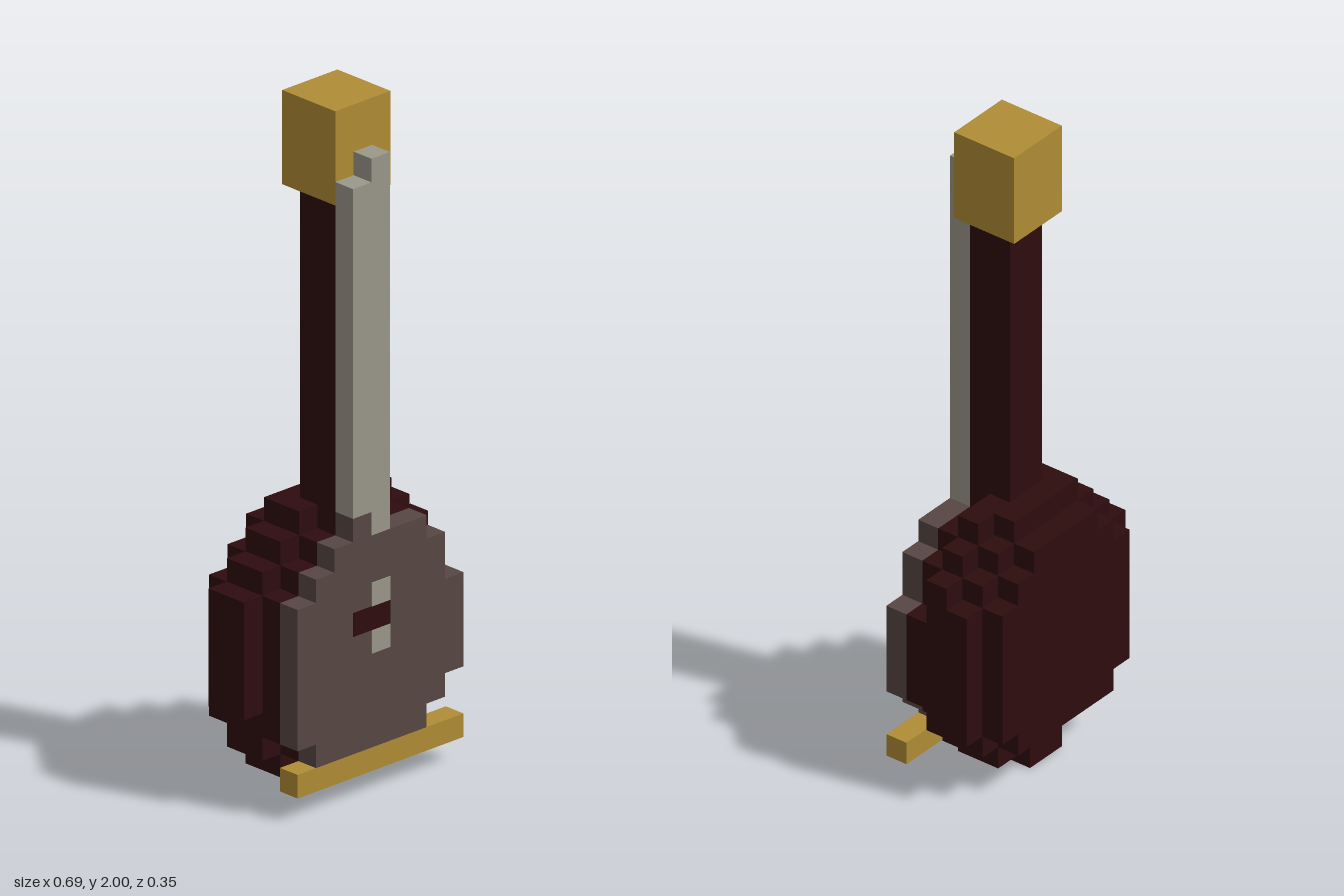
import * as THREE from 'three';

const U = 2 / 29; // one block; the model is 29 blocks tall

const makeMaterial = (name, color) => {
  const m = new THREE.MeshStandardMaterial({ color });
  m.name = name;
  return m;
};

export function createModel() {
  const darkWood = makeMaterial('dark wood', 0x2e0c0e);
  const faceWood = makeMaterial('face wood', 0x574743);
  const stringGrey = makeMaterial('string grey', 0x9a978a);
  const brass = makeMaterial('brass', 0xb08c35);

  const model = new THREE.Group();
  model.name = 'banjo';

  const add = (geometry, material, name) => {
    geometry.scale(U, U, U);
    const mesh = new THREE.Mesh(geometry, material);
    mesh.name = name;
    model.add(mesh);
  };

  // Box between two corners, in blocks
  const box = (name, material, x0, x1, y0, y1, z0, z1) => {
    const g = new THREE.BoxGeometry(x1 - x0, y1 - y0, z1 - z0);
    g.translate((x0 + x1) / 2, (y0 + y1) / 2, (z0 + z1) / 2);
    add(g, material, name);
  };

  // Stepped slab: bands of [left, right, bottom, top] stacked upward, in blocks
  const slab = (name, material, z0, z1, bands) => {
    const right = bands.flatMap(([, r, b, t]) => [[r, b], [r, t]]);
    const left = bands.flatMap(([l, , b, t]) => [[l, b], [l, t]]).reverse();
    const shape = new THREE.Shape([...right, ...left].map(([x, y]) => new THREE.Vector2(x, y)));
    const g = new THREE.ExtrudeGeometry(shape, { depth: z1 - z0, bevelEnabled: false });
    g.translate(0, 0, z0);
    add(g, material, name);
  };

  // Round body, one slab per layer from back to front
  slab('bodyBack', darkWood, -2.5, -1.5, [
    [-3, 3, 2, 3], [-4, 4, 3, 9], [-3, 3, 9, 10], [-2, 2, 10, 11],
  ]);
  slab('bodyRearMiddle', darkWood, -1.5, -0.5, [
    [-1, 1, 0, 1], [-3, 3, 1, 2], [-4, 4, 2, 3], [-4, 5, 3, 4], [-5, 5, 4, 9],
    [-4, 4, 9, 10], [-3, 3, 10, 11], [-2, 2, 11, 12],
  ]);
  slab('bodyFrontMiddle', darkWood, -0.5, 0.5, [
    [-1, 1, 0, 1], [-3, 3, 1, 2], [-4, 4, 2, 3], [-4, 5, 3, 4], [-5, 5, 4, 9],
    [-4, 5, 9, 10], [-3, 4, 10, 11], [-2, 3, 11, 12],
  ]);
  slab('bodyFront', darkWood, 0.5, 1.5, [
    [-2, 2, 1, 2], [-3, 3, 2, 3], [-4, 4, 3, 4], [-4, 5, 4, 8],
    [-4, 4, 8, 9], [-3, 4, 9, 10], [-2, 3, 10, 11],
  ]);
  slab('facePlate', faceWood, 1.5, 2.5, [
    [-3, 3, 2, 3], [-4, 4, 3, 4], [-4, 5, 4, 8],
    [-4, 4, 8, 9], [-3, 4, 9, 10], [-2, 3, 10, 11], [-1, 0, 11, 12],
  ]);

  // Inlaid marks on the face
  box('bridgeMark', darkWood, -1, 1, 7, 8, 2.45, 2.54);
  for (const y of [6, 8]) box('stringMark', stringGrey, 0, 1, y, y + 1, 2.45, 2.54);

  // Neck, strings, head and bottom bar
  box('neck', darkWood, -1, 1, 11, 25, -0.5, 1.5);
  slab('strings', stringGrey, 1.5, 2.5, [[0, 1, 11, 12], [-1, 1, 12, 26], [0, 1, 26, 27]]);
  box('head', brass, -1, 2, 25, 29, -1.5, 1.5);
  box('tailBar', brass, -4, 5, 1, 2, 1.5, 2.5);

  return model;
}
